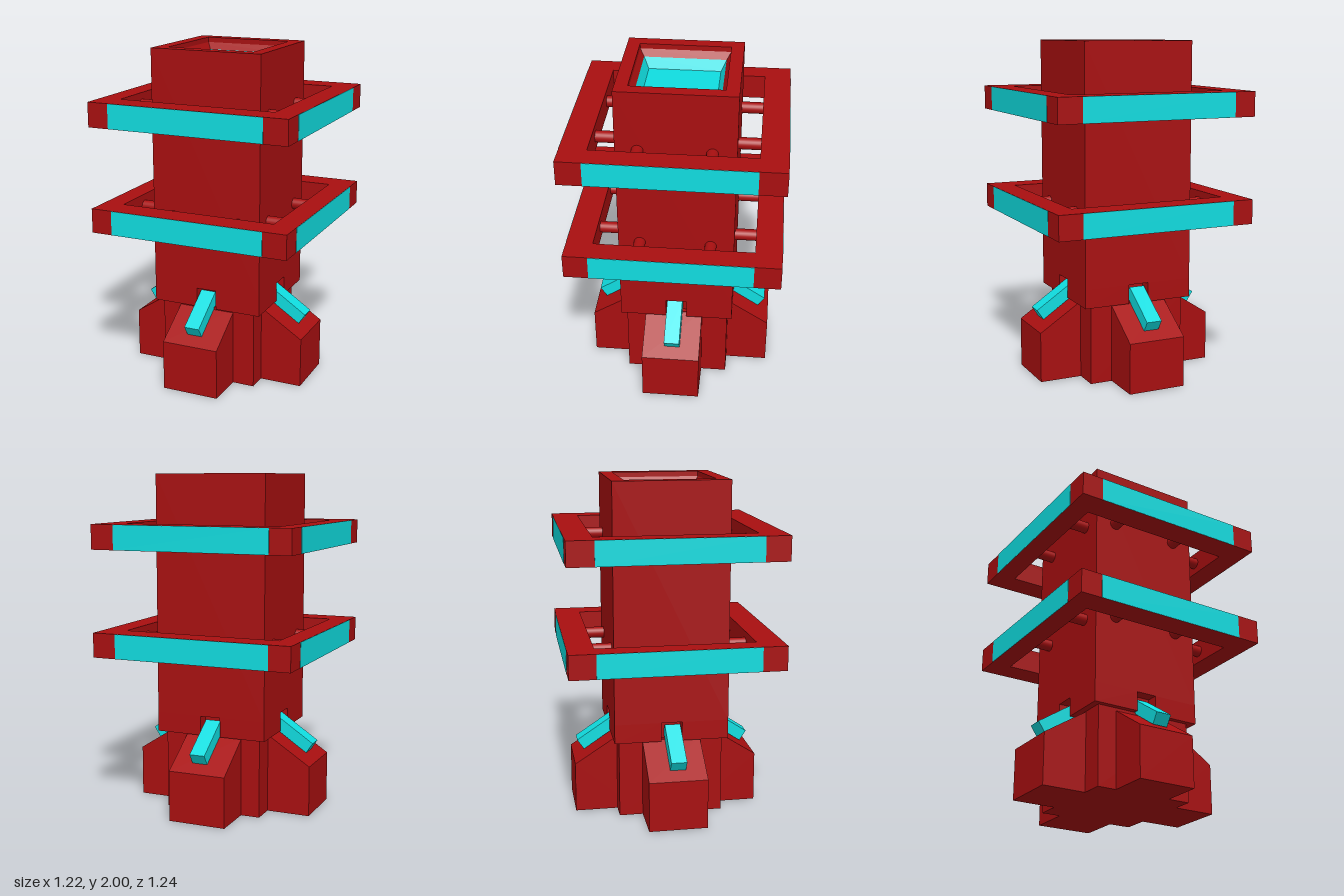
import * as THREE from 'three';

const red = new THREE.MeshStandardMaterial({ color: 0xa80f10 });
const cyan = new THREE.MeshStandardMaterial({ color: 0x10dde0 });

function add(parent, name, geometry, material, x = 0, y = 0, z = 0) {
  const mesh = new THREE.Mesh(geometry, material);
  mesh.name = name;
  mesh.position.set(x, y, z);
  parent.add(mesh);
  return mesh;
}

// Box given by its lower and upper corners
function block(parent, name, material, [x0, y0, z0], [x1, y1, z1]) {
  return add(parent, name, new THREE.BoxGeometry(x1 - x0, y1 - y0, z1 - z0), material,
    (x0 + x1) / 2, (y0 + y1) / 2, (z0 + z1) / 2);
}

// Square turned profile: [half width, height] pairs, with flat faces
function squareLathe(points) {
  const profile = points.map(([h, y]) => new THREE.Vector2(h * Math.SQRT2, y));
  const geometry = new THREE.LatheGeometry(profile, 4, Math.PI / 4).toNonIndexed();
  geometry.computeVertexNormals();
  return geometry;
}

// Side profile of [z, y] points, extruded across x
function sideExtrude(points, width) {
  const shape = new THREE.Shape(points.map(([z, y]) => new THREE.Vector2(z, y)));
  const geometry = new THREE.ExtrudeGeometry(shape, { depth: width, bevelEnabled: false });
  return geometry.translate(0, 0, -width / 2).rotateY(-Math.PI / 2);
}

// Four groups facing front, +x side, back and -x side
function aroundSides(parent, name, x, z, build) {
  for (let i = 0; i < 4; i++) {
    const side = new THREE.Group();
    side.name = name;
    side.position.set(x, 0, z);
    side.rotation.y = i * Math.PI / 2;
    parent.add(side);
    build(side, i);
  }
}

function rectangle(Type, x0, x1, z0, z1) {
  return new Type([[x0, -z1], [x1, -z1], [x1, -z0], [x0, -z0]].map(p => new THREE.Vector2(...p)));
}

export function createModel() {
  const model = new THREE.Group();
  model.name = 'tower';

  // Square column with a lined recess in its top
  const column = new THREE.Group();
  column.name = 'column';
  column.position.x = -0.01;
  model.add(column);
  add(column, 'columnShell', squareLathe([
    [0, 0.585], [0.34, 0.585], [0.34, 2], [0.265, 2], [0.265, 1.97], [0.24, 1.93]]), red);
  add(column, 'recessLining', squareLathe([[0.24, 1.93], [0.21, 1.87], [0, 1.87]]), cyan);

  // Column foot: four corners leave a notch in the middle of each side
  block(column, 'columnFootCore', red, [-0.27, 0.47, -0.27], [0.27, 0.585, 0.27]);
  for (const sx of [-1, 1]) for (const sz of [-1, 1]) {
    add(column, 'columnFootCorner', new THREE.BoxGeometry(0.278, 0.115, 0.278), red,
      sx * 0.201, 0.5275, sz * 0.201);
  }

  // Base core and four sloped feet, each with a bright bar lying on the slope
  block(model, 'baseCore', red, [-0.31, 0, -0.31], [0.285, 0.47, 0.31]);
  const footShift = [-0.007, -0.026, 0.007, 0.011];
  const barShift = [-0.005, -0.02, 0, 0.018];
  const footGeometry = sideExtrude([[0.2, 0], [0.555, 0], [0.555, 0.3], [0.295, 0.468], [0.2, 0.468]], 0.347);
  const barGeometry = sideExtrude([[0.49, 0.345], [0.53, 0.405], [0.297, 0.56], [0.257, 0.5]], 0.093);
  aroundSides(model, 'footAssembly', -0.015, -0.008, (side, i) => {
    add(side, 'foot', footGeometry, red, footShift[i]);
    add(side, 'slopeBar', barGeometry, cyan, barShift[i]);
  });

  // Two square rings held by round pegs, with bright panels on the outside
  const ringShape = rectangle(THREE.Shape, -0.608, 0.604, -0.62, 0.62);
  ringShape.holes.push(rectangle(THREE.Path, -0.485, 0.467, -0.465, 0.465));
  const ringGeometry = new THREE.ExtrudeGeometry(ringShape, { depth: 0.145, bevelEnabled: false })
    .rotateX(-Math.PI / 2);
  const pegGeometry = new THREE.CylinderGeometry(0.034, 0.034, 0.2, 24).rotateX(Math.PI / 2);
  const panelGeometry = new THREE.BoxGeometry(0.94, 0.143, 0.01);

  for (const y of [0.945, 1.57]) {
    const ring = new THREE.Group();
    ring.name = 'ring';
    ring.position.y = y;
    model.add(ring);
    add(ring, 'ringFrame', ringGeometry, red);
    aroundSides(ring, 'ringPegs', -0.012, 0.005, side => {
      for (const s of [-1, 1]) add(side, 'peg', pegGeometry, red, s * 0.208, 0.0725, 0.4);
    });
    aroundSides(ring, 'ringPanel', -0.002, 0, (side, i) => {
      const shift = [-0.007, -0.005, 0.007, 0.005][i];
      add(side, 'panel', panelGeometry, cyan, shift, 0.0725, i % 2 ? 0.603 : 0.617);
    });
  }
  return model;
}
